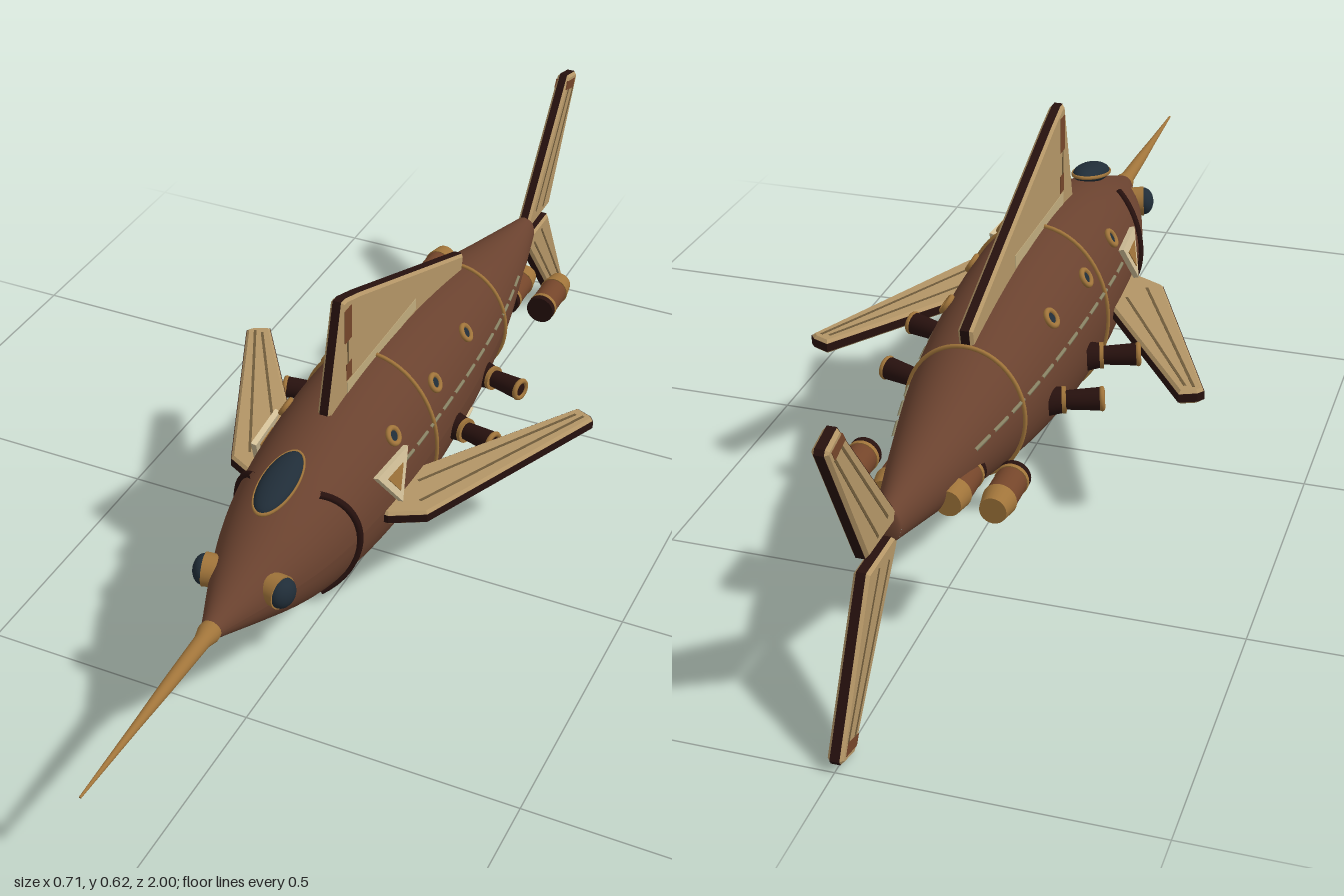
import * as THREE from 'three';

const mat = (name, color) => {
  const m = new THREE.MeshStandardMaterial({ color });
  m.name = name;
  return m;
};

// Hull stations: z, half width, top y, bottom y
const STATIONS = [
  [-0.76, 0.022, 0.308, 0.245], [-0.6, 0.06, 0.345, 0.21], [-0.4, 0.1, 0.395, 0.162],
  [-0.2, 0.122, 0.428, 0.125], [0, 0.13, 0.44, 0.11], [0.15, 0.127, 0.433, 0.119],
  [0.3, 0.113, 0.408, 0.145], [0.4, 0.092, 0.378, 0.175], [0.5, 0.058, 0.338, 0.218],
  [0.6, 0.018, 0.298, 0.262], [0.62, 0.012, 0.292, 0.268],
];

// Smooth (Hermite) interpolation of the stations
function section(z) {
  const S = STATIONS, last = S.length - 1;
  let i = 0;
  while (i < last - 1 && z > S[i + 1][0]) i++;
  const h = S[i + 1][0] - S[i][0];
  const t = Math.min(1, Math.max(0, (z - S[i][0]) / h));
  const slope = (k, c) => {
    const a = S[Math.max(0, k - 1)], b = S[Math.min(last, k + 1)];
    return (b[c] - a[c]) / (b[0] - a[0]);
  };
  const [w, top, bottom] = [1, 2, 3].map((c) =>
    (2 * t ** 3 - 3 * t * t + 1) * S[i][c] + (t ** 3 - 2 * t * t + t) * h * slope(i, c) +
    (3 * t * t - 2 * t ** 3) * S[i + 1][c] + (t ** 3 - t * t) * h * slope(i + 1, c));
  return { w, cy: (top + bottom) / 2, h: (top - bottom) / 2 };
}

// Point on the hull at angle a (0 = +x side, PI/2 = top)
function onHull(z, a, off = 0) {
  const s = section(z);
  return new THREE.Vector3(Math.cos(a) * (s.w + off), s.cy + Math.sin(a) * (s.h + off), z);
}

function angleAt(z, y, side) {
  const s = section(z);
  const a = Math.asin(Math.max(-1, Math.min(1, (y - s.cy) / s.h)));
  return side > 0 ? a : Math.PI - a;
}

// Seat an object on the hull with its +z along the surface normal
function seat(obj, z, a, off = 0) {
  const e = 0.005;
  const du = onHull(z, a + e).sub(onHull(z, a - e));
  const dv = onHull(z + e, a).sub(onHull(z - e, a));
  const n = du.cross(dv).normalize();
  obj.position.copy(onHull(z, a)).addScaledVector(n, off);
  obj.lookAt(obj.position.clone().add(n));
  return obj;
}

function hullGeometry(rows = 72, cols = 48) {
  const pos = [], idx = [];
  for (let i = 0; i <= rows; i++)
    for (let j = 0; j <= cols; j++)
      pos.push(...onHull(-0.76 + (1.38 * i) / rows, (j / cols) * Math.PI * 2).toArray());
  for (let i = 0; i < rows; i++)
    for (let j = 0; j < cols; j++) {
      const a = i * (cols + 1) + j, b = a + cols + 1;
      idx.push(a, a + 1, b, a + 1, b + 1, b);
    }
  const g = new THREE.BufferGeometry();
  g.setAttribute('position', new THREE.Float32BufferAttribute(pos, 3));
  g.setIndex(idx);
  g.computeVertexNormals();
  return g;
}

export function createModel() {
  const M = {
    hull: mat('hull brown', 0x6a422f), canvas: mat('fin canvas', 0xb39566),
    dark: mat('dark maroon', 0x27110e), brass: mat('brass', 0xa0743a),
    seam: mat('seam grey', 0x8a8465), glass: mat('dark glass', 0x202d38),
    cream: mat('cream', 0xd2c098), rust: mat('rust', 0x74452a),
    rib: mat('rib brown', 0x6e5a3a), pale: mat('pale canvas', 0xc0ab7c),
  };
  const model = new THREE.Group();
  const add = (parent, name, geo, material) => {
    const m = new THREE.Mesh(geo, material);
    m.name = name;
    parent.add(m);
    return m;
  };
  const group = (name) => {
    const g = new THREE.Group();
    g.name = name;
    model.add(g);
    return g;
  };
  const cyl = (r1, r2, len, z) =>
    new THREE.CylinderGeometry(r2, r1, len, 24).rotateX(Math.PI / 2).translate(0, 0, z + len / 2);
  const tube = (name, pts, r, material, closed = false) =>
    add(model, name, new THREE.TubeGeometry(new THREE.CatmullRomCurve3(pts, closed), pts.length * 2, r, 6, closed), material);
  const slab = (pts, depth, bevel = { bevelEnabled: false }) => new THREE.ExtrudeGeometry(
    new THREE.Shape(pts.map((p) => new THREE.Vector2(...p))), { depth, ...bevel }).translate(0, 0, -depth / 2);

  // Hull, tail cap and sword
  add(model, 'hull', hullGeometry(), M.hull);
  const cap = add(model, 'tailCap', new THREE.SphereGeometry(1, 24, 12), M.hull);
  cap.scale.set(0.022, 0.0315, 0.008);
  cap.position.set(0, 0.2765, -0.76);
  const sword = [[0.018, 0.595], [0.019, 0.61], [0.014, 0.63], [0.011, 0.74], [0.007, 0.84], [0.002, 1], [0, 1]];
  add(model, 'sword', new THREE.LatheGeometry(sword.map((p) => new THREE.Vector2(...p)), 20)
    .rotateX(Math.PI / 2).translate(0, 0.28, 0), M.brass);

  // Hull bands
  for (const z of [0, -0.4]) {
    const pts = Array.from({ length: 32 }, (_, i) => onHull(z, (i / 32) * Math.PI * 2, 0.002));
    tube('hullBand', pts, 0.004, M.brass, true);
  }

  // Fins: dark core showing at the edges, bevelled canvas skins, ribs and patches
  const skinBevel = { bevelThickness: 0.005, bevelSize: 0.005, bevelOffset: -0.006, bevelSegments: 1 };
  function fin(name, pts, ribs, patches = []) {
    const g = group(name);
    add(g, 'finCore', slab(pts, 0.015), M.dark);
    add(g, 'finSkin', slab(pts, 0.0154, skinBevel), M.canvas);
    for (const [x1, y1, x2, y2] of ribs) {
      const rib = add(g, 'finRib', new THREE.BoxGeometry(Math.hypot(x2 - x1, y2 - y1), 0.005, 0.0268), M.rib);
      rib.position.set((x1 + x2) / 2, (y1 + y2) / 2, 0);
      rib.rotation.z = Math.atan2(y2 - y1, x2 - x1);
    }
    for (const [shape, material] of patches) add(g, 'finPatch', slab(shape, 0.027), material);
    return g;
  }
  const rect = (a, b, c, d) => [[a, b], [c, b], [c, d], [a, d]];
  const dorsal = fin('dorsalFin',
    [[0.19, 0.41], [0.185, 0.435], [0.13, 0.624], [0.115, 0.624], [0.06, 0.605], [-0.4, 0.425], [-0.39, 0.38], [-0.1, 0.4]],
    [[0.115, 0.54, 0.115, 0.49]],
    [[rect(-0.17, 0.435, 0.12, 0.458), M.pale], [rect(0.1, 0.54, 0.127, 0.605), M.rust],
      [rect(0.1, 0.462, 0.122, 0.495), M.rust]]);
  dorsal.rotation.y = -Math.PI / 2;

  for (const s of [1, -1]) {
    // Tail fin
    const mirrorY = (y) => 0.273 + s * (y - 0.273);
    const tail = fin(s > 0 ? 'upperTailFin' : 'lowerTailFin',
      [[-0.745, 0.285], [-0.755, 0.305], [-0.95, 0.546], [-0.995, 0.535], [-1, 0.527], [-0.87, 0.285]]
        .map(([z, y]) => [z, mirrorY(y)]),
      [[-0.79, 0.31, -0.96, 0.53], [-0.83, 0.3, -0.975, 0.51]].map((r) => [r[0], mirrorY(r[1]), r[2], mirrorY(r[3])]),
      [[[[-0.945, 0.535], [-0.985, 0.526], [-0.975, 0.508], [-0.935, 0.52]].map(([z, y]) => [z, mirrorY(y)]), M.rust]]);
    tail.rotation.y = -Math.PI / 2;

    // Pectoral fin
    const pectoral = fin(s > 0 ? 'leftPectoralFin' : 'rightPectoralFin',
      [[0.07, 0.2], [0.13, 0.207], [0.19, 0.175], [0.354, -0.2], [0.345, -0.212], [0.315, -0.225], [0.12, 0.06], [0.07, 0.1]]
        .map(([x, z]) => [s * x, z]),
      [[0.165, 0.15, 0.335, -0.2], [0.14, 0.1, 0.32, -0.2]].map((r) => [s * r[0], r[1], s * r[2], r[3]]));
    pectoral.rotation.x = Math.PI / 2;
    pectoral.position.y = 0.261;

    // Gill slit and dashed side seam
    const gill = Array.from({ length: 17 }, (_, i) => {
      const u = (i - 8) / 8, z = 0.29 + 0.04 * u * u;
      return onHull(z, s > 0 ? u * 0.98 : Math.PI - u * 0.98, 0.001);
    });
    tube('gillSlit', gill, 0.007, M.dark);
    for (let d = 0; d < 12; d++) {
      const dash = [0, 0.022, 0.044].map((dz) => {
        const z = 0.13 - d * 0.058 - dz, y = 0.326 - 0.07 * Math.max(0, -z) ** 1.7;
        return onHull(z, angleAt(z, y, s), 0.0005);
      });
      tube('sideSeam', dash, 0.0035, M.seam);
    }

    // Portholes
    for (const z of [0.125, -0.05, -0.22]) {
      const g = seat(group('porthole'), z, angleAt(z, 0.375, s));
      add(g, 'rim', new THREE.TorusGeometry(0.014, 0.005, 10, 28).translate(0, 0, 0.003), M.brass);
      add(g, 'pane', cyl(0.011, 0.011, 0.008, -0.004), M.glass);
    }

    // Eye, looking sideways
    const eye = group('eye');
    eye.position.set(s * 0.062, 0.296, 0.487);
    eye.lookAt(s * 1.062, 0.34, 0.737);
    add(eye, 'eyeCollar', cyl(0.027, 0.029, 0.03, -0.02), M.brass);
    add(eye, 'eyeLens', new THREE.SphereGeometry(1, 28, 16).scale(0.0265, 0.0265, 0.019).translate(0, 0, 0.01), M.glass);

    // Triangular badge
    const badge = seat(group('badge'), 0.172, angleAt(0.172, 0.322, s), 0.008);
    const tri = (k) => [[-0.054 * k, 0.035 * k], [0, -0.045 * k], [0.054 * k, 0.035 * k]];
    add(badge, 'badgePlate', slab(tri(1), 0.01), M.cream);
    add(badge, 'badgeFace', slab(tri(0.5), 0.013), M.brass);

    // Side guns
    for (const [x, z] of [[0.117, -0.105], [0.1, -0.28]]) {
      const gun = group('sideGun');
      gun.position.set(s * x, 0.252, z);
      gun.lookAt(s * (x + 0.95), 0.3, z + 0.27);
      add(gun, 'mount', cyl(0.026, 0.022, 0.022, 0.006), M.dark);
      add(gun, 'mountRing', cyl(0.023, 0.023, 0.007, 0.028), M.brass);
      add(gun, 'barrel', cyl(0.016, 0.02, 0.068, 0.028), M.dark);
      add(gun, 'muzzleRing', new THREE.TorusGeometry(0.0165, 0.005, 8, 24).translate(0, 0, 0.095), M.brass);
    }

    // Rear thrusters
    for (const x of [0.052, 0.125]) {
      const t = group('thruster');
      t.position.set(s * x, 0.252, 0);
      add(t, 'intakeLip', cyl(0.027, 0.027, 0.012, -0.54), M.dark);
      add(t, 'casing', cyl(0.026, 0.026, 0.07, -0.605), M.rust);
      add(t, 'casingRing', cyl(0.0275, 0.0275, 0.008, -0.548), M.brass);
      add(t, 'rearCap', cyl(0.022, 0.028, 0.035, -0.64), M.brass);
    }
  }

  // Canopy window on the brow
  const canopy = group('canopy');
  canopy.position.set(0, 0.403, 0.355);
  canopy.lookAt(0, 1.403, 0.575);
  add(canopy, 'canopyGlass', new THREE.SphereGeometry(1, 32, 16).scale(0.031, 0.071, 0.018), M.glass);
  add(canopy, 'canopyRim', new THREE.TorusGeometry(1, 0.05, 8, 40).scale(0.032, 0.072, 0.07), M.brass);

  // Patch plate on the left flank
  const patch = seat(group('hullPatch'), -0.19, angleAt(-0.19, 0.212, 1), 0.001);
  add(patch, 'patchPlate', slab([[-0.03, -0.005], [-0.015, -0.016], [0.02, -0.014], [0.028, 0.004], [0.01, 0.016], [-0.02, 0.013]],
    0.006), M.cream);

  return model;
}
